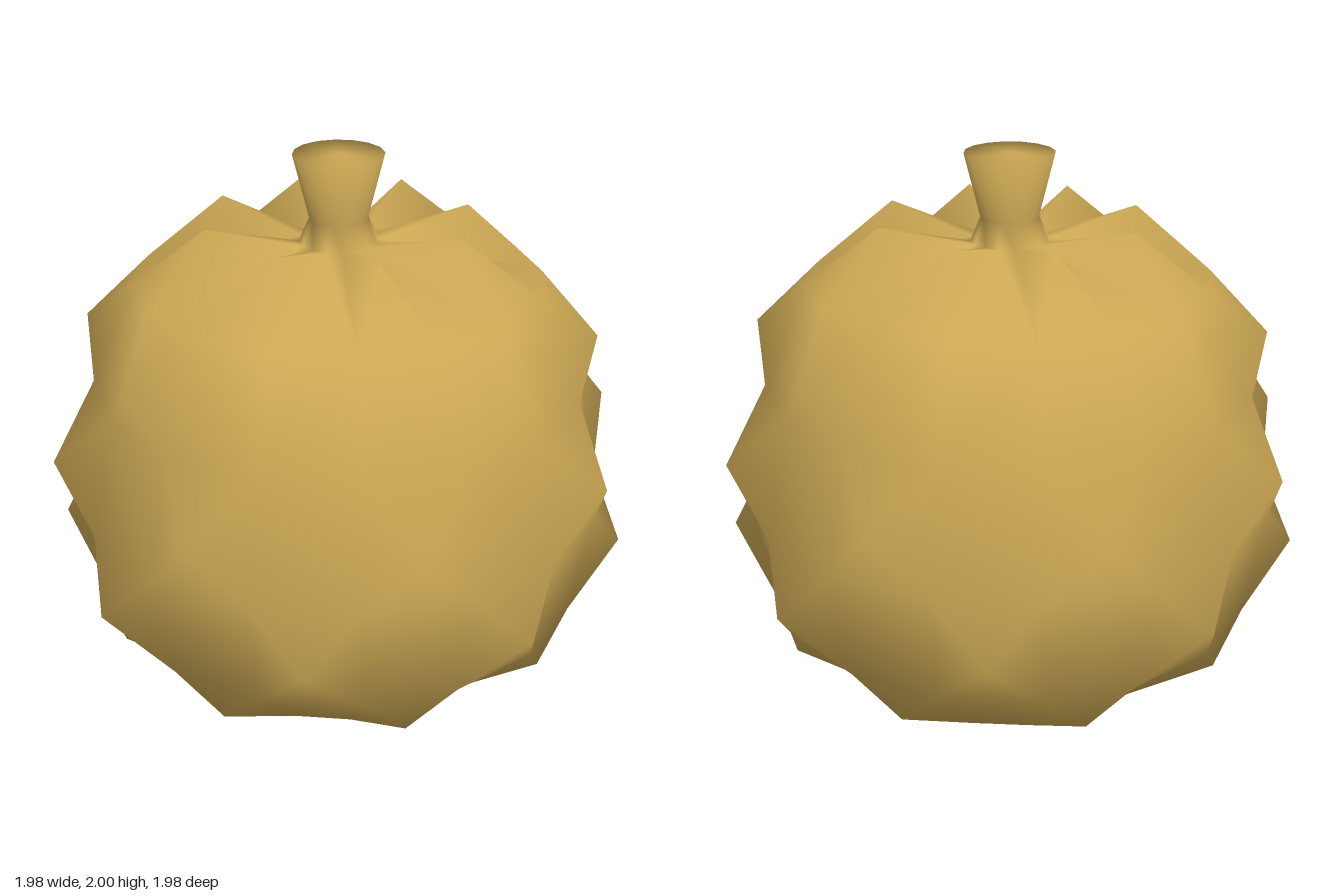
import * as THREE from 'three';

const SIDES = 16;
const STEP = (Math.PI * 2) / SIDES;

// Rings of the sack from base to tied neck: [radius, height]
const RINGS = [
  [0.155, 0.005], [0.49, 0.085], [0.855, 0.4], [0.93, 0.79], [0.85, 1.21],
  [0.7, 1.565], [0.135, 1.7], [0.1, 1.78], [0.155, 2],
];
// Raised point of the puckers in each band between two rings (null = smooth band)
const TIPS = [null, [0.8, 0.25], [1.01, 0.6], [1.01, 1], [0.885, 1.39], [0.46, 1.78], null, null];

function sackGeometry() {
  const positions = [];
  const index = [];
  const addPoint = (r, y, turn) =>
    positions.push(r * Math.cos(turn * STEP), y, r * Math.sin(turn * STEP)) / 3 - 1;

  const rings = RINGS.map(([r, y]) => Array.from({ length: SIDES }, (_, i) => addPoint(r, y, i)));

  for (let band = 0; band < TIPS.length; band++) {
    for (let i = 0; i < SIDES; i++) {
      const next = (i + 1) % SIDES;
      const corners = [rings[band][i], rings[band + 1][i], rings[band + 1][next], rings[band][next]];
      if (TIPS[band] && i % 2 === band % 2) {
        // every other cell, in a checkerboard, is drawn out to a point
        const tip = addPoint(TIPS[band][0], TIPS[band][1], i + 0.5);
        corners.forEach((c, k) => index.push(c, corners[(k + 1) % 4], tip));
      } else {
        const [a, b, c, d] = corners;
        index.push(a, b, c, a, c, d);
      }
    }
  }

  // Closed base and neck top
  const base = addPoint(0, 0, 0);
  const top = addPoint(0, 2, 0);
  const last = rings[rings.length - 1];
  for (let i = 0; i < SIDES; i++) {
    const next = (i + 1) % SIDES;
    index.push(base, rings[0][i], rings[0][next]);
    index.push(top, last[next], last[i]);
  }

  const geometry = new THREE.BufferGeometry();
  geometry.setAttribute('position', new THREE.Float32BufferAttribute(positions, 3));
  geometry.setIndex(index);
  geometry.computeVertexNormals();
  return geometry;
}

export function createModel() {
  const group = new THREE.Group();
  group.name = 'tiedSack';
  const sack = new THREE.Mesh(sackGeometry(), new THREE.MeshStandardMaterial({ color: 0xcca854 }));
  sack.name = 'sackWithNeck';
  group.add(sack);
  return group;
}
